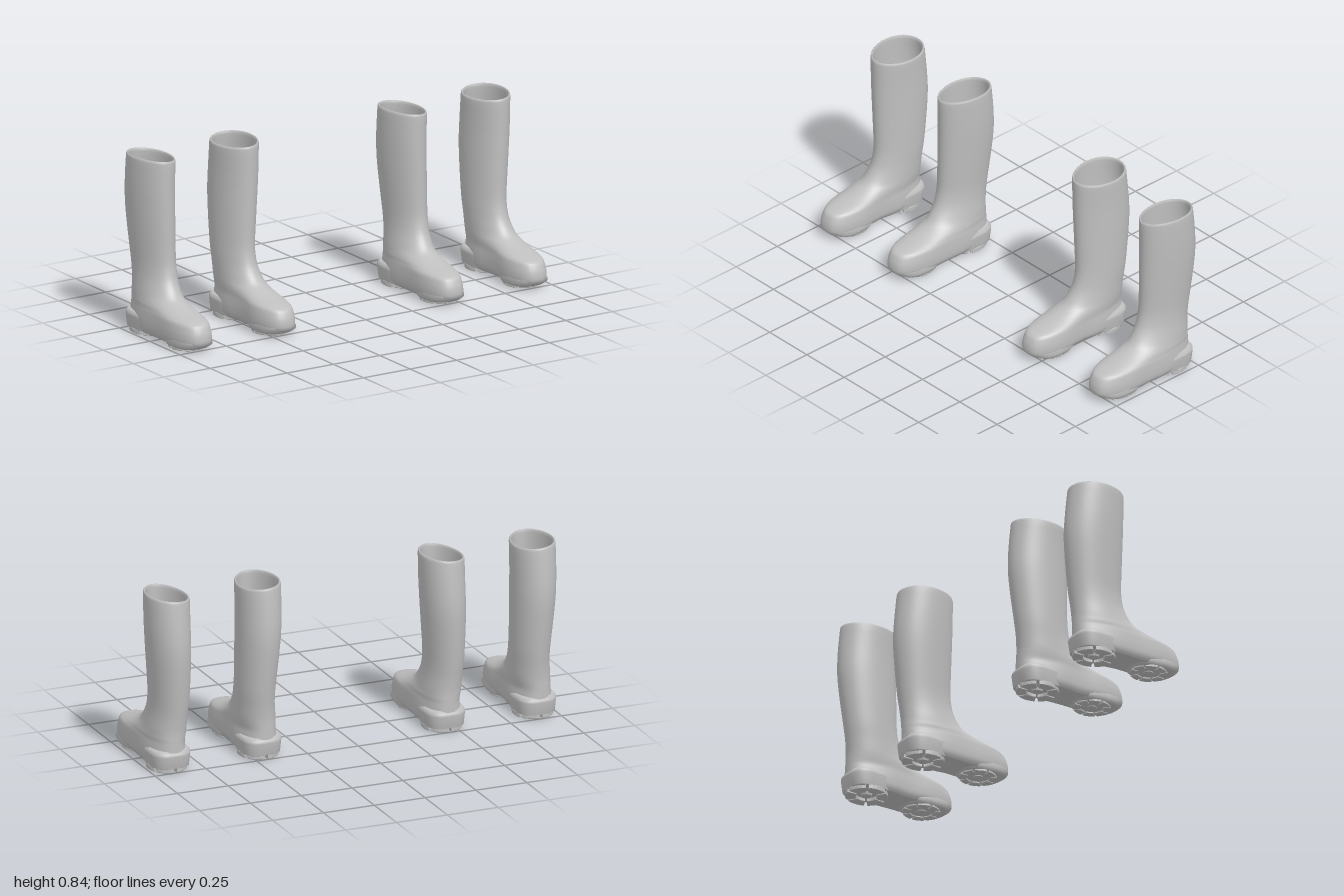
import * as THREE from 'three';

const rubber = new THREE.MeshStandardMaterial({ color: 0xbfbfbf });
rubber.name = 'grey rubber';

const SEG = 48;

// Outer skin, bottom to top: y, back z, front z, half width, x shift, squareness, waist, egg taper
const SKIN = [
  [0.018, -0.235, 0.272, 0.080, 0, 2.7, 0.18, 0],
  [0.040, -0.250, 0.297, 0.094, 0, 2.7, 0.15, 0],
  [0.075, -0.253, 0.298, 0.097, 0, 2.7, 0.14, 0],
  [0.105, -0.253, 0.289, 0.096, 0, 2.6, 0.13, 0],
  [0.128, -0.253, 0.273, 0.094, 0, 2.5, 0.12, 0],
  [0.142, -0.253, 0.228, 0.092, 0.001, 2.4, 0.10, 0.02],
  [0.157, -0.253, 0.166, 0.091, 0.002, 2.3, 0.08, 0.04],
  [0.175, -0.253, 0.110, 0.089, 0.004, 2.2, 0.05, 0.06],
  [0.200, -0.254, 0.062, 0.087, 0.006, 2.1, 0.02, 0.08],
  [0.255, -0.260, 0.022, 0.084, 0.010, 2, 0, 0.08],
  [0.310, -0.268, 0.004, 0.084, 0.012, 2, 0, 0.08],
  [0.370, -0.276, -0.003, 0.086, 0.011, 2, 0, 0.08],
  [0.480, -0.289, -0.003, 0.091, 0.007, 2, 0, 0.08],
  [0.590, -0.297, -0.002, 0.095, 0.003, 2, 0, 0.08],
  [0.700, -0.291, -0.001, 0.097, 0, 2, 0, 0.08],
  [0.815, -0.278, 0.000, 0.098, 0, 2, 0, 0.08],
];

// Raised heel cup and forefoot sole, same row layout
const HEEL = [
  [0.018, -0.150, -0.150, 0.000, 0, 3, 0, 0],
  [0.018, -0.244, -0.056, 0.084, 0, 3, 0, 0],
  [0.022, -0.251, -0.051, 0.090, 0, 3, 0, 0],
  [0.078, -0.259, -0.040, 0.095, 0, 3, 0, 0],
  [0.090, -0.257, -0.050, 0.094, 0, 3, 0, 0],
  [0.104, -0.246, -0.070, 0.084, 0, 3, 0, 0],
  [0.104, -0.150, -0.150, 0.000, 0, 3, 0, 0],
];
const FORE = [
  [0.008, 0.150, 0.150, 0.000, 0, 2.6, 0, 0],
  [0.008, 0.068, 0.225, 0.074, 0, 2.6, 0, 0],
  [0.014, 0.058, 0.262, 0.084, 0, 2.6, 0, 0],
  [0.030, 0.040, 0.288, 0.091, 0, 2.6, 0, 0],
  [0.050, 0.045, 0.290, 0.088, 0, 2.6, 0, 0],
];

// Catmull-Rom subdivision of the row list
function refine(rows, steps) {
  const out = [];
  for (let j = 0; j < rows.length - 1; j++) {
    const a = rows[Math.max(j - 1, 0)], b = rows[j], c = rows[j + 1];
    const d = rows[Math.min(j + 2, rows.length - 1)];
    for (let s = 0; s < steps; s++) {
      const t = s / steps;
      out.push(b.map((v, k) => v + 0.5 * t * (c[k] - a[k] +
        t * (2 * a[k] - 5 * v + 4 * c[k] - d[k] + t * (3 * (v - c[k]) + d[k] - a[k])))));
    }
  }
  out.push(rows[rows.length - 1]);
  return out;
}

// Skins a stack of egg-shaped horizontal sections; side = -1 mirrors in x
function loft(rows, side) {
  const pos = [], idx = [];
  const pow = (v, n) => Math.sign(v) * Math.pow(Math.abs(v), 2 / n);
  for (const [y, zb, zf, hw, cx, n, waist, egg] of rows) {
    for (let i = 0; i < SEG; i++) {
      const t = (i / SEG) * Math.PI * 2;
      const z = (zb + zf) / 2 + ((zf - zb) / 2) * pow(Math.cos(t), n);
      const sx = pow(Math.sin(t), n);
      const pinch = waist * Math.exp(-(((z - 0.04) / 0.075) ** 2)) * (sx > 0 ? 1 : 0.4);
      const x = cx + hw * sx * (1 - egg * Math.cos(t)) * (1 - pinch);
      const slant = y > 0.7 ? ((y - 0.7) / 0.13) * 0.09 * -x : 0;
      pos.push(side * x, y + slant, z);
    }
  }
  for (let j = 0; j < rows.length - 1; j++) {
    for (let i = 0; i < SEG; i++) {
      const k = (i + 1) % SEG;
      const a = j * SEG + i, b = j * SEG + k, c = b + SEG, d = a + SEG;
      if (side > 0) idx.push(a, b, c, a, c, d);
      else idx.push(a, c, b, a, d, c);
    }
  }
  const g = new THREE.BufferGeometry();
  g.setAttribute('position', new THREE.Float32BufferAttribute(pos, 3));
  g.setIndex(idx);
  g.computeVertexNormals();
  return g;
}

// Outer skin, rolled rim, lining and insole as one closed surface
function bootRows() {
  const outer = refine(SKIN, 3);
  const inset = (r, d, y = r[0]) => [y, r[1] + d, r[2] - d, r[3] - d, ...r.slice(4)];
  const top = SKIN[SKIN.length - 1];
  const lining = outer.filter((r) => r[0] > 0.25 && r[0] < 0.8).reverse().map((r) => inset(r, 0.011));
  const foot = [-0.24, 0.0, 0.074, 0.008, 2.1, 0, 0.06];
  return [
    [0.018, 0.02, 0.02, 0, 0, 2.6, 0, 0], ...outer,
    inset(top, 0.002, 0.824), inset(top, 0.006, 0.827), inset(top, 0.010, 0.823), inset(top, 0.011, 0.812),
    ...lining,
    [0.12, ...foot], [0.075, ...foot],
    [0.07, -0.235, -0.005, 0.07, 0.008, 2.1, 0, 0.06],
    [0.07, -0.12, -0.12, 0, 0.008, 2, 0, 0],
  ];
}

// One tread block: a sector of an oval ring, from y0 to y0 + h
function lug(zc, hz, hw, t0, t1, inner, y0, h) {
  const at = (t, s) => new THREE.Vector2(Math.sin(t) * hw * s, zc + Math.cos(t) * hz * s);
  const pts = [];
  for (let i = 0; i <= 5; i++) pts.push(at(t0 + ((t1 - t0) * i) / 5, 1));
  for (let i = 5; i >= 0; i--) pts.push(at(t0 + ((t1 - t0) * i) / 5, inner));
  const b = 0.003;
  const g = new THREE.ExtrudeGeometry(new THREE.Shape(pts), {
    depth: h - 2 * b, bevelThickness: b, bevelSize: b, bevelOffset: -b, bevelSegments: 1,
  });
  g.rotateX(Math.PI / 2);
  g.translate(0, y0 + h - b, 0);
  return g;
}

function createBoot(side) {
  const boot = new THREE.Group();
  const add = (name, geometry) => {
    const m = new THREE.Mesh(geometry, rubber);
    m.name = name;
    boot.add(m);
    return m;
  };
  add('bootShell', loft(bootRows(), side));
  add('heelCup', loft(HEEL, side));
  add('foreSole', loft(FORE, side));

  // Treads around the heel and the ball of the foot
  const ring = (name, count, zc, hz, hw, inner, y0, h) => {
    const step = (Math.PI * 2) / count;
    for (let i = 0; i < count; i++) {
      add(name, lug(zc, hz, hw, (i + 0.07) * step, (i + 0.93) * step, inner, y0, h));
    }
  };
  ring('heelTread', 6, -0.150, 0.1, 0.092, 0.5, 0, 0.024);
  ring('foreTread', 8, 0.150, 0.088, 0.082, 0.6, 0, 0.016);

  // Round studs at the middle of each tread
  for (const [name, z, r] of [['heelStud', -0.15, 0.028], ['foreStud', 0.15, 0.026]]) {
    add(name, new THREE.CylinderGeometry(r, r * 0.85, 0.018, 20)).position.set(0, 0.013, z);
  }
  return boot;
}

export function createModel() {
  const model = new THREE.Group();
  model.name = 'twoPairsOfBoots';
  for (const [name, x, side] of [
    ['firstPairRightBoot', -0.9, 1], ['firstPairLeftBoot', -0.452, -1],
    ['secondPairRightBoot', 0.452, 1], ['secondPairLeftBoot', 0.9, -1],
  ]) {
    const boot = createBoot(side);
    boot.name = name;
    boot.position.x = x;
    model.add(boot);
  }
  return model;
}
